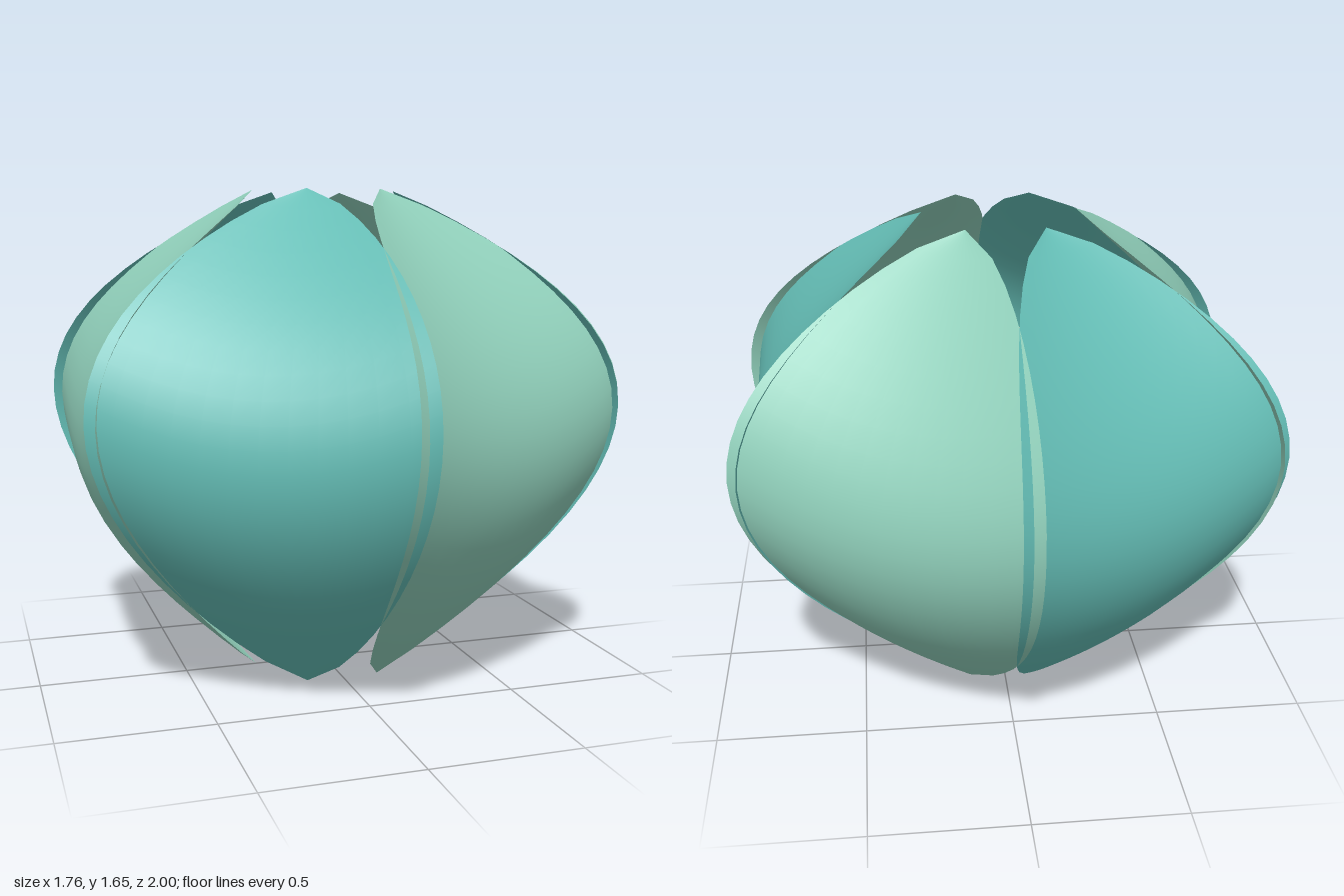
import * as THREE from 'three';

const HEIGHT = 1.65, TIP = 0.25, BULGE = 0.6, HALF_WIDTH = 0.527, LIFT = 0.125;
const ROWS = 24, COLUMNS = 12;

// A sheet bowed outwards along its height, with its side edges swept upwards
function petalGeometry() {
  const geometry = new THREE.PlaneGeometry(2, 1, COLUMNS, ROWS);
  const position = geometry.attributes.position;
  for (let i = 0; i < position.count; i++) {
    const u = position.getX(i); // -1 to 1 across
    const t = position.getY(i) + 0.5; // 0 to 1 from bottom to top
    const swell = Math.max(0, Math.sin(Math.PI * t));
    position.setXYZ(
      i,
      u * HALF_WIDTH * Math.pow(swell, 0.7),
      HEIGHT * t + LIFT * u * u * swell,
      TIP + BULGE * swell,
    );
  }
  geometry.computeVertexNormals();
  return geometry;
}

export function createModel() {
  const model = new THREE.Group();
  model.name = 'flowerBud';

  // Ring of six petals in alternating colours
  const geometry = petalGeometry();
  const materials = [0x64bdb5, 0x90cfba].map(
    (color) => new THREE.MeshStandardMaterial({ color, side: THREE.DoubleSide }));
  for (let i = 0; i < 6; i++) {
    const petal = new THREE.Mesh(geometry, materials[i % 2]);
    petal.name = `petal${i + 1}`;
    petal.rotation.y = Math.PI / 2 + (i * Math.PI) / 3;
    model.add(petal);
  }

  // Round core inside the petals
  const core = new THREE.Mesh(
    new THREE.SphereGeometry(0.43, 32, 24),
    new THREE.MeshStandardMaterial({ color: 0xf0dfba }));
  core.name = 'core';
  core.position.y = 0.8;
  model.add(core);

  return model;
}
